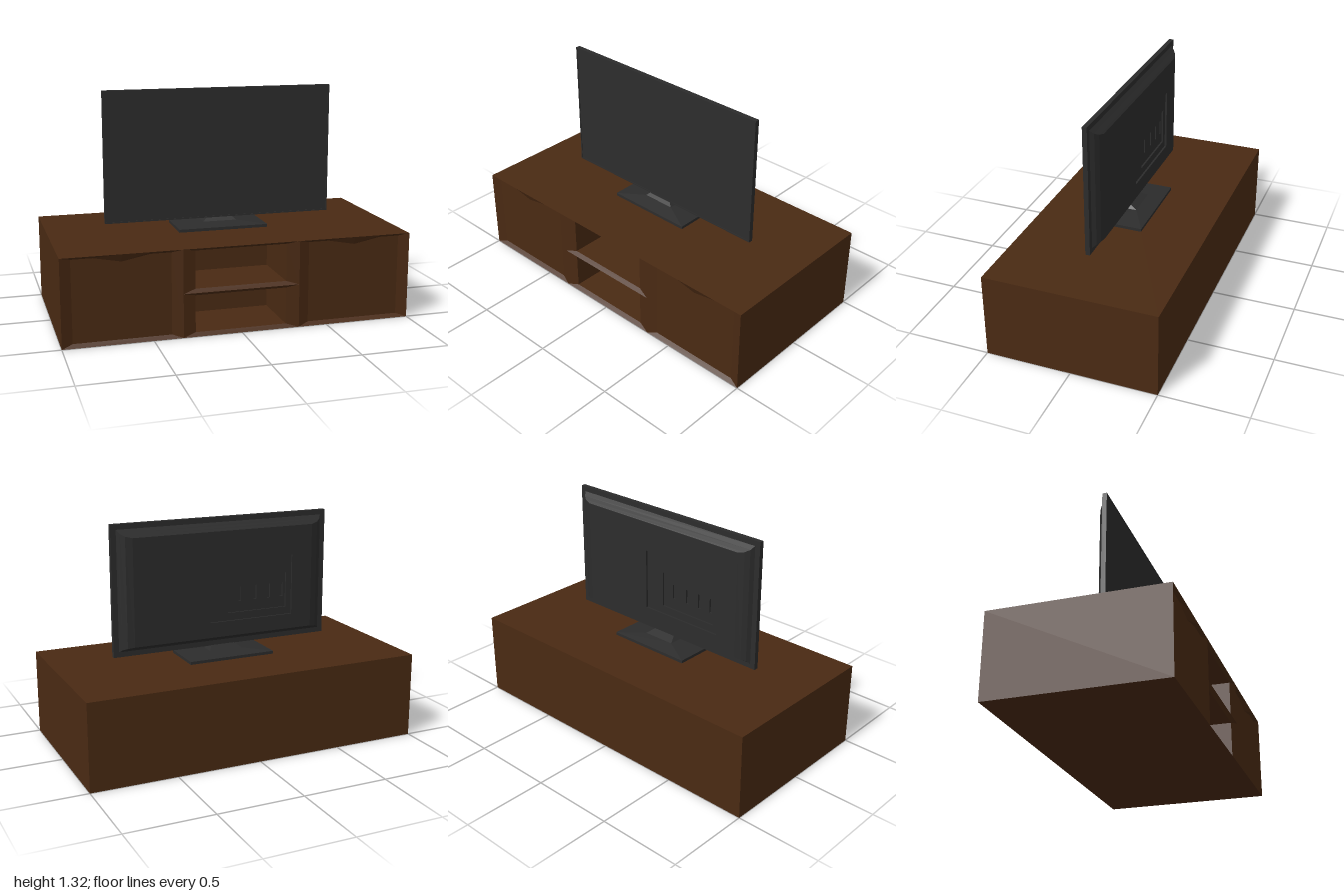
import * as THREE from 'three';

const wood = new THREE.MeshStandardMaterial({ color: 0x4a2a13, flatShading: true });
const plastic = new THREE.MeshStandardMaterial({ color: 0x2c2c2c, flatShading: true });

// Counter-clockwise rectangle
const rect = (x0, x1, y0, y1) => [[x0, y0], [x1, y0], [x1, y1], [x0, y1]];

// Skins a list of { ring, z } sections; optional flat caps, the end cap may have holes
function skin(name, material, sections, { startCap = false, endCap = true, holes = [] } = {}) {
  const pos = [];
  const put = ([x, y], z) => pos.push(x, y, z);
  for (let s = 0; s + 1 < sections.length; s++) {
    const a = sections[s], b = sections[s + 1], n = a.ring.length;
    for (let i = 0; i < n; i++) {
      const j = (i + 1) % n;
      put(a.ring[i], a.z); put(a.ring[j], a.z); put(b.ring[j], b.z);
      put(a.ring[i], a.z); put(b.ring[j], b.z); put(b.ring[i], b.z);
    }
  }
  const cap = ({ ring, z }, flip, cuts) => {
    const v = p => p.map(q => new THREE.Vector2(...q));
    const all = [ring, ...cuts].flat();
    for (const t of THREE.ShapeUtils.triangulateShape(v(ring), cuts.map(v))) {
      const [p, q, r] = t.map(k => all[k]);
      const ccw = (q[0] - p[0]) * (r[1] - p[1]) - (q[1] - p[1]) * (r[0] - p[0]) > 0;
      for (const c of ccw !== flip ? [p, q, r] : [p, r, q]) put(c, z);
    }
  };
  if (startCap) cap(sections[0], true, []);
  if (endCap) cap(sections[sections.length - 1], false, holes);
  const geometry = new THREE.BufferGeometry();
  geometry.setAttribute('position', new THREE.Float32BufferAttribute(pos, 3));
  geometry.computeVertexNormals();
  const mesh = new THREE.Mesh(geometry, material);
  mesh.name = name;
  return mesh;
}

function buildCabinet() {
  const cabinet = new THREE.Group();
  cabinet.name = 'cabinet';
  const outline = rect(-1, 1, 0, 0.5);
  cabinet.add(skin('cabinetShell', wood, [{ ring: outline, z: -0.5 }, { ring: outline, z: 0.5 }],
    { startCap: true, endCap: false }));

  // Recessed doors with a triangular finger grip at the top
  for (const side of [-1, 1]) {
    const c = side * 0.667;
    const ring = (hw, y0, y1, dip) => [[c - hw, y0], [c + hw, y0], [c + hw, y1],
      [c + 0.155, y1], [c, y1 - dip], [c - 0.155, y1], [c - hw, y1]];
    cabinet.add(skin(side < 0 ? 'rightDoor' : 'leftDoor', wood, [
      { ring: ring(0.333, 0, 0.5, 0), z: 0.5 },
      { ring: ring(0.272, 0.02, 0.485, 0.03), z: 0.48 },
    ]));
  }

  // Two open niches; their bevelled rims meet as the shelf edge
  for (const [name, y0, y1, in0, in1] of [
    ['lowerNiche', 0, 0.25, 0.02, 0.232],
    ['upperNiche', 0.25, 0.5, 0.27, 0.485],
  ]) {
    const inner = rect(-0.262, 0.262, in0, in1);
    cabinet.add(skin(name, wood, [
      { ring: rect(-0.334, 0.334, y0, y1), z: 0.5 },
      { ring: inner, z: 0.48 },
      { ring: inner, z: 0.14 },
    ]));
  }
  return cabinet;
}

function buildTelevision() {
  const tv = new THREE.Group();
  tv.name = 'television';

  // Thin display with a slightly sunken screen
  const outer = rect(-0.677, 0.677, 0.555, 1.315);
  const screen = rect(-0.669, 0.669, 0.563, 1.307);
  tv.add(skin('display', plastic, [
    { ring: outer, z: 0.008 }, { ring: outer, z: 0.035 },
    { ring: screen, z: 0.035 }, { ring: screen, z: 0.032 },
  ], { startCap: true }));

  // Rear housing and its stepped connector recess, built facing +z then turned round
  const rear = new THREE.Group();
  rear.name = 'rearHousing';
  rear.rotation.y = Math.PI;
  const plate = rect(-0.1, 0.435, 0.705, 1.065);
  const bay = rect(0.02, 0.4, 0.75, 0.96);
  const slots = [0.1, 0.2, 0.29, 0.375].map(x => rect(x - 0.009, x + 0.009, 0.815, 0.9));
  const shell = [[0.645, 0.585, 1.285, -0.008], [0.63, 0.6, 1.265, 0.012],
    [0.605, 0.609, 1.25, 0.029], [0.565, 0.615, 1.24, 0.039]];
  rear.add(skin('rearShell', plastic,
    shell.map(([hw, y0, y1, z]) => ({ ring: rect(-hw, hw, y0, y1), z })), { holes: [plate] }));
  rear.add(skin('connectorPlate', plastic,
    [{ ring: plate, z: 0.039 }, { ring: plate, z: 0.028 }], { holes: [bay] }));
  rear.add(skin('connectorBay', plastic,
    [{ ring: bay, z: 0.028 }, { ring: bay, z: 0.018 }], { holes: slots }));
  for (const s of slots) {
    rear.add(skin('connectorSlot', plastic, [{ ring: s, z: 0.018 }, { ring: s, z: 0.008 }]));
  }
  tv.add(rear);

  // Stand: half width, back z, front z, height
  const levels = [[0.265, -0.133, 0.133, 0.5], [0.265, -0.133, 0.133, 0.517],
    [0.1, -0.042, 0.048, 0.535], [0.075, 0.009, 0.031, 0.557]];
  const stand = skin('stand', plastic,
    levels.map(([hw, back, front, y]) => ({ ring: rect(-hw, hw, -front, -back), z: y })),
    { startCap: true });
  stand.rotation.x = -Math.PI / 2;
  tv.add(stand);
  return tv;
}

export function createModel() {
  const model = new THREE.Group();
  model.name = 'televisionOnCabinet';
  model.add(buildCabinet(), buildTelevision());
  return model;
}
